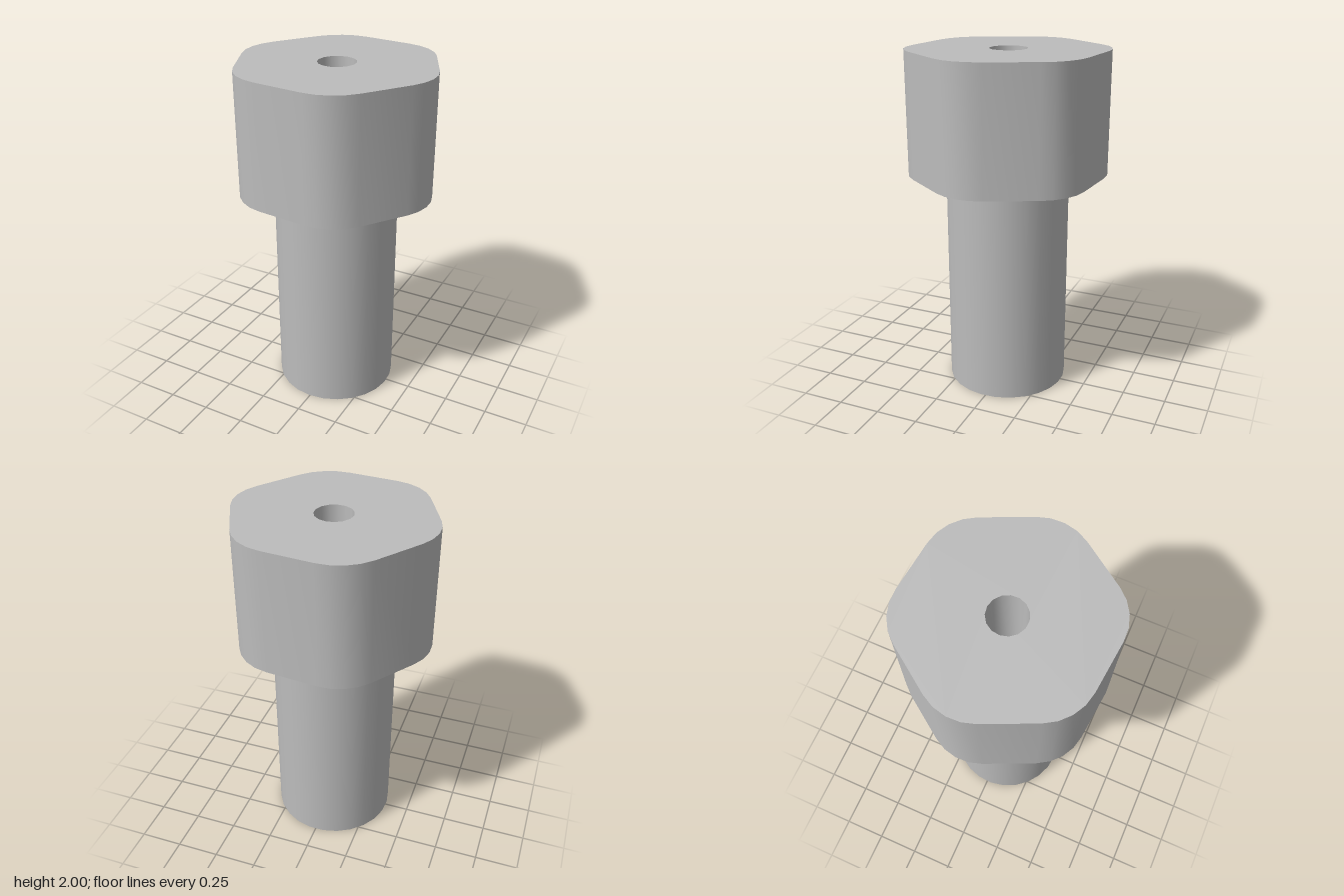
import * as THREE from 'three';
import { toCreasedNormals } from 'three/addons/utils/BufferGeometryUtils.js';

const TOP = 2, SHOULDER = 1.29;
const rad = THREE.MathUtils.degToRad;

// Points on an arc or circle in the x-z plane
function arc(cx, cz, r, startDeg, stepDeg, count) {
  return Array.from({ length: count }, (_, i) => {
    const a = rad(startDeg + i * stepDeg);
    return new THREE.Vector2(cx + r * Math.cos(a), cz + r * Math.sin(a));
  });
}

export function createModel() {
  const model = new THREE.Group();
  model.name = 'bolt';
  const steel = new THREE.MeshStandardMaterial({ color: 0xbcbcbc });
  steel.name = 'grey steel';

  // Head: slightly turned hexagon with large rounded corners and a centre bore
  const outline = [];
  for (let i = 0; i < 6; i++) {
    const deg = 5.5 + i * 60, a = rad(deg);
    outline.push(...arc(0.29 * Math.cos(a), 0.29 * Math.sin(a), 0.285, deg - 30, 15, 5));
  }
  const shape = new THREE.Shape(outline);
  shape.holes.push(new THREE.Path(arc(-0.002, -0.002, 0.108, -87, 24, 15)));
  const headGeometry = new THREE.ExtrudeGeometry(shape, { depth: TOP - SHOULDER, bevelEnabled: false });
  headGeometry.rotateX(Math.PI / 2);
  headGeometry.translate(0, TOP, 0);
  const head = new THREE.Mesh(toCreasedNormals(headGeometry, 0.6), steel);
  head.name = 'head';

  // Shaft: its top face closes the bottom of the bore
  const shaft = new THREE.Mesh(new THREE.CylinderGeometry(0.355, 0.355, SHOULDER, 25), steel);
  shaft.name = 'shaft';
  shaft.position.set(-0.004, SHOULDER / 2, 0.004);

  model.add(head, shaft);
  return model;
}
